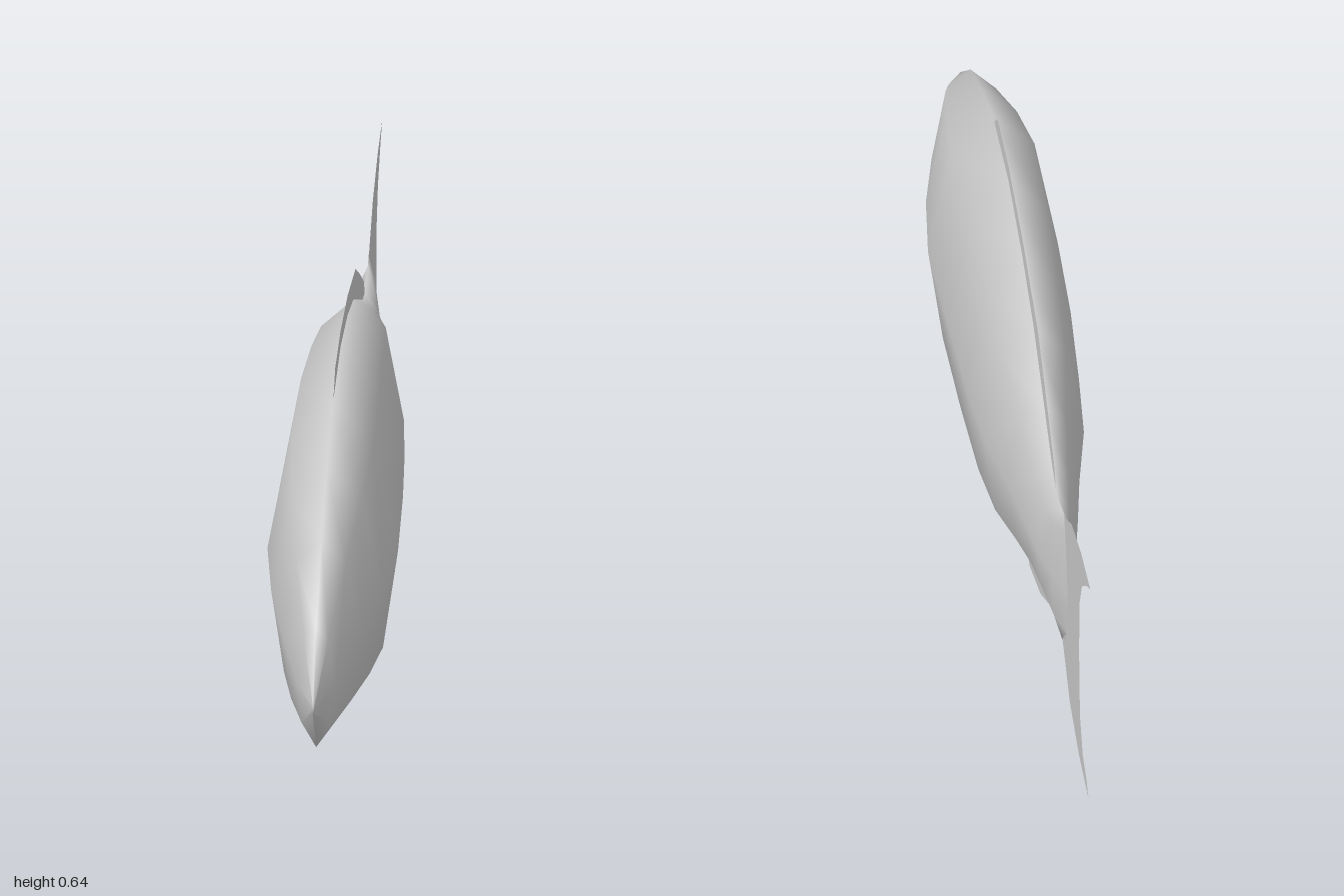
import * as THREE from 'three';

const grey = new THREE.MeshStandardMaterial({ color: 0xcccccc, side: THREE.DoubleSide });
grey.name = 'pale grey';

// Body stations from snout to tail root: z, top, bottom, half width
const STATIONS = [
  [1.0, 0.275, 0.255, 0.002],
  [0.91, 0.38, 0.162, 0.032],
  [0.76, 0.48, 0.118, 0.066],
  [0.6, 0.543, 0.086, 0.094],
  [0.43, 0.595, 0.05, 0.11],
  [0.2, 0.611, 0.052, 0.105],
  [0.0, 0.59, 0.062, 0.096],
  [-0.17, 0.553, 0.105, 0.085],
  [-0.32, 0.495, 0.16, 0.06],
  [-0.43, 0.452, 0.2, 0.045],
  [-0.51, 0.435, 0.206, 0.033],
  [-0.59, 0.452, 0.196, 0.019],
  [-0.615, 0.463, 0.194, 0.0],
];

// Eight-sided section: [share of half width, share of height]
const SECTION = [
  [0, 1], [0.64, 0.89], [1, 0.52], [0.77, 0.2],
  [0, 0], [-0.77, 0.2], [-1, 0.52], [-0.64, 0.89],
];

function bodyGeometry() {
  const pos = [], index = [], n = SECTION.length;
  STATIONS.forEach(([z, top, bottom, w], j) => {
    // the last section bows backwards into the tail fin
    const bow = j === STATIONS.length - 1 ? 0.055 : 0;
    for (const [u, v] of SECTION) {
      pos.push(u * w, bottom + v * (top - bottom), z - bow * Math.sin(Math.PI * v));
    }
    if (j === 0) return;
    for (let i = 0; i < n; i++) {
      const a = (j - 1) * n + i, b = (j - 1) * n + (i + 1) % n;
      index.push(a, b, a + n, b, b + n, a + n);
    }
  });
  // close the snout
  for (let i = 1; i < n - 1; i++) index.push(0, i + 1, i);
  const g = new THREE.BufferGeometry();
  g.setAttribute('position', new THREE.Float32BufferAttribute(pos, 3));
  g.setIndex(index);
  g.computeVertexNormals();
  return g;
}

// Flat fin on the centre plane, outlined by [z, y] points
function fin(name, outline) {
  const g = new THREE.ShapeGeometry(new THREE.Shape(outline.map(([z, y]) => new THREE.Vector2(-z, y))));
  g.rotateY(Math.PI / 2);
  const m = new THREE.Mesh(g, grey);
  m.name = name;
  return m;
}

export function createModel() {
  const fish = new THREE.Group();
  fish.name = 'fish';

  const body = new THREE.Mesh(bodyGeometry(), grey);
  body.name = 'body';
  fish.add(body);

  fish.add(
    fin('dorsalFin', [
      [0.42, 0.59], [0.36, 0.633], [0.2, 0.64], [0, 0.625], [-0.23, 0.585], [-0.35, 0.53],
      [-0.47, 0.47], [-0.5, 0.435], [-0.43, 0.44], [-0.17, 0.53], [0.1, 0.58],
    ]),
    fin('analFin', [
      [0.02, 0.065], [-0.11, 0.04], [-0.27, 0.085], [-0.43, 0.16], [-0.49, 0.192],
      [-0.46, 0.21], [-0.32, 0.18], [-0.17, 0.13],
    ]),
    fin('pelvicFin', [
      [0.45, 0.055], [0.37, 0.01], [0.32, 0], [0.25, 0.018], [0.23, 0.06], [0.34, 0.07],
    ]),
    fin('tailFin', [
      [-0.61, 0.455], [-0.73, 0.513], [-0.87, 0.544], [-1, 0.555], [-0.95, 0.53], [-0.88, 0.485],
      [-0.845, 0.43], [-0.838, 0.33], [-0.85, 0.21], [-0.89, 0.157], [-0.95, 0.14],
      [-0.975, 0.122], [-0.83, 0.122], [-0.7, 0.142], [-0.6, 0.196], [-0.64, 0.33],
    ]),
  );
  return fish;
}
